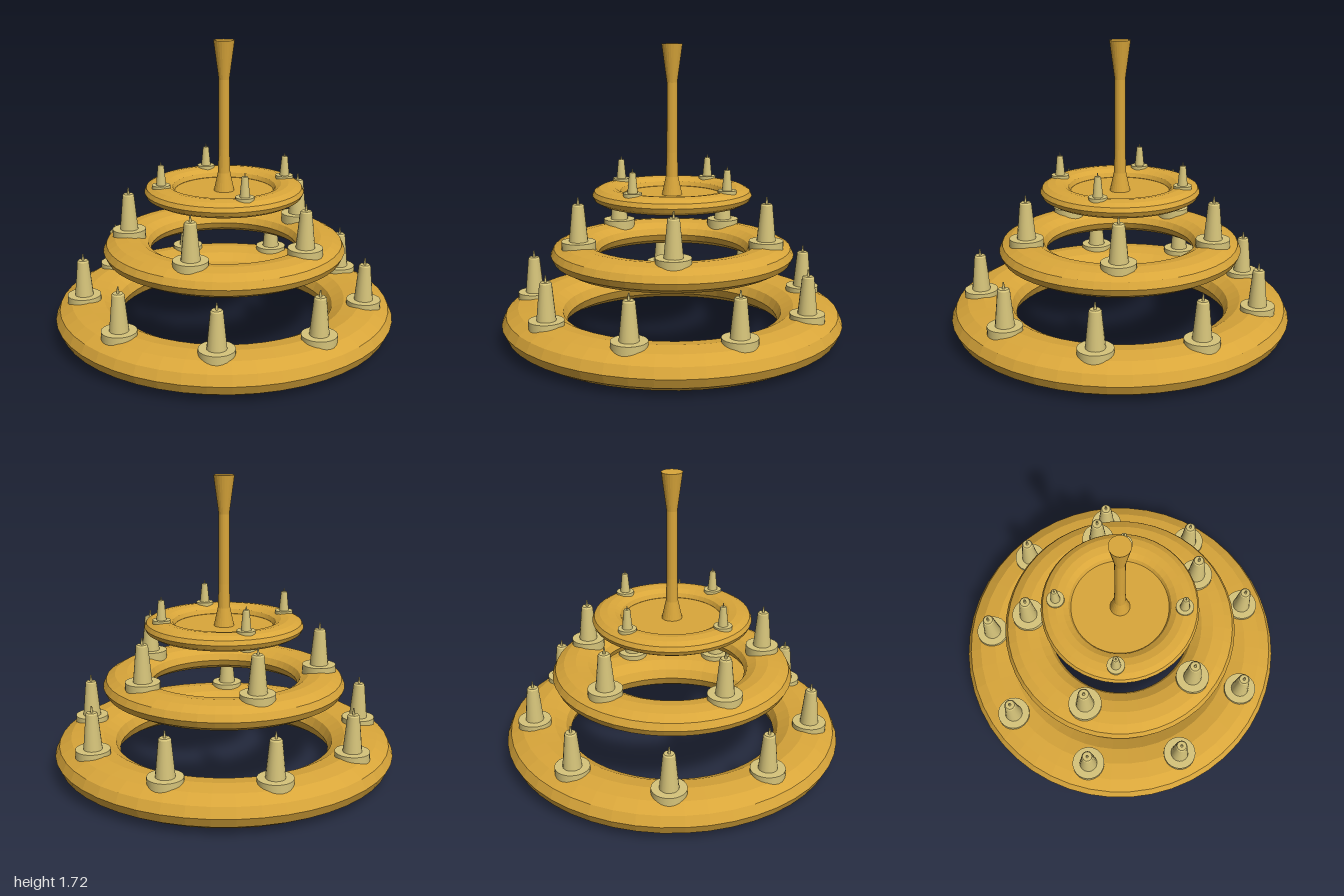
import * as THREE from 'three';

const brass = new THREE.MeshStandardMaterial({ color: 0xd9a63a, flatShading: true });
const wax = new THREE.MeshStandardMaterial({ color: 0xd6c47a });

function addMesh(parent, name, geometry, material) {
  const mesh = new THREE.Mesh(geometry, material);
  mesh.name = name;
  parent.add(mesh);
  return mesh;
}

// Flattened torus lying level
function addRing(parent, name, radius, tube, y, halfHeight) {
  const geometry = new THREE.TorusGeometry(radius, tube, 12, 48);
  geometry.rotateX(Math.PI / 2);
  geometry.scale(1, halfHeight / tube, 1);
  addMesh(parent, name, geometry, brass).position.y = y;
}

// Drip dish, tapered candle and wick; the origin is on the dish top
function createCandle() {
  const candle = new THREE.Group();
  candle.name = 'candle';
  const dish = new THREE.CylinderGeometry(0.098, 0.098, 0.075, 24);
  dish.translate(0, -0.0375, 0);
  addMesh(candle, 'dripDish', dish, wax);
  const body = new THREE.CylinderGeometry(0.034, 0.054, 0.205, 16);
  body.translate(0, 0.1025, 0);
  addMesh(candle, 'candleBody', body, wax);
  const tip = new THREE.CylinderGeometry(0.028, 0.034, 0.008, 16);
  tip.translate(0, 0.209, 0);
  addMesh(candle, 'candleTip', tip, wax);
  const wick = new THREE.CylinderGeometry(0.004, 0.008, 0.037, 8);
  wick.translate(0, 0.2315, 0);
  addMesh(candle, 'wick', wick, wax);
  return candle;
}

// Evenly spaced candles, the first at the back
function addCandles(parent, name, count, radius, y, scale) {
  const set = new THREE.Group();
  set.name = name;
  for (let i = 0; i < count; i++) {
    const a = (i / count) * Math.PI * 2;
    const candle = createCandle();
    candle.position.set(Math.sin(a) * radius, y, -Math.cos(a) * radius);
    candle.scale.setScalar(scale);
    set.add(candle);
  }
  parent.add(set);
}

export function createModel() {
  const model = new THREE.Group();
  model.name = 'chandelier';

  // Three tiers
  addRing(model, 'lowerRing', 0.81, 0.19, 0.115, 0.11);
  addRing(model, 'middleRing', 0.57, 0.14, 0.512, 0.078);
  addRing(model, 'upperRing', 0.375, 0.088, 0.855, 0.05);
  addCandles(model, 'lowerCandles', 9, 0.83, 0.245, 1);
  addCandles(model, 'middleCandles', 5, 0.56, 0.615, 1);
  addCandles(model, 'upperCandles', 4, 0.375, 0.915, 0.53);

  // Plate closing the upper ring
  addMesh(model, 'plate', new THREE.CylinderGeometry(0.292, 0.292, 0.02, 48), brass).position.y = 0.843;

  // Hanging rod, flared at both ends
  const profile = [[0, 0.85], [0.06, 0.85], [0.036, 0.96], [0.031, 1.1], [0.03, 1.5], [0.06, 1.72], [0, 1.72]];
  addMesh(model, 'hangingRod',
    new THREE.LatheGeometry(profile.map(([r, y]) => new THREE.Vector2(r, y)), 24), brass);

  return model;
}
